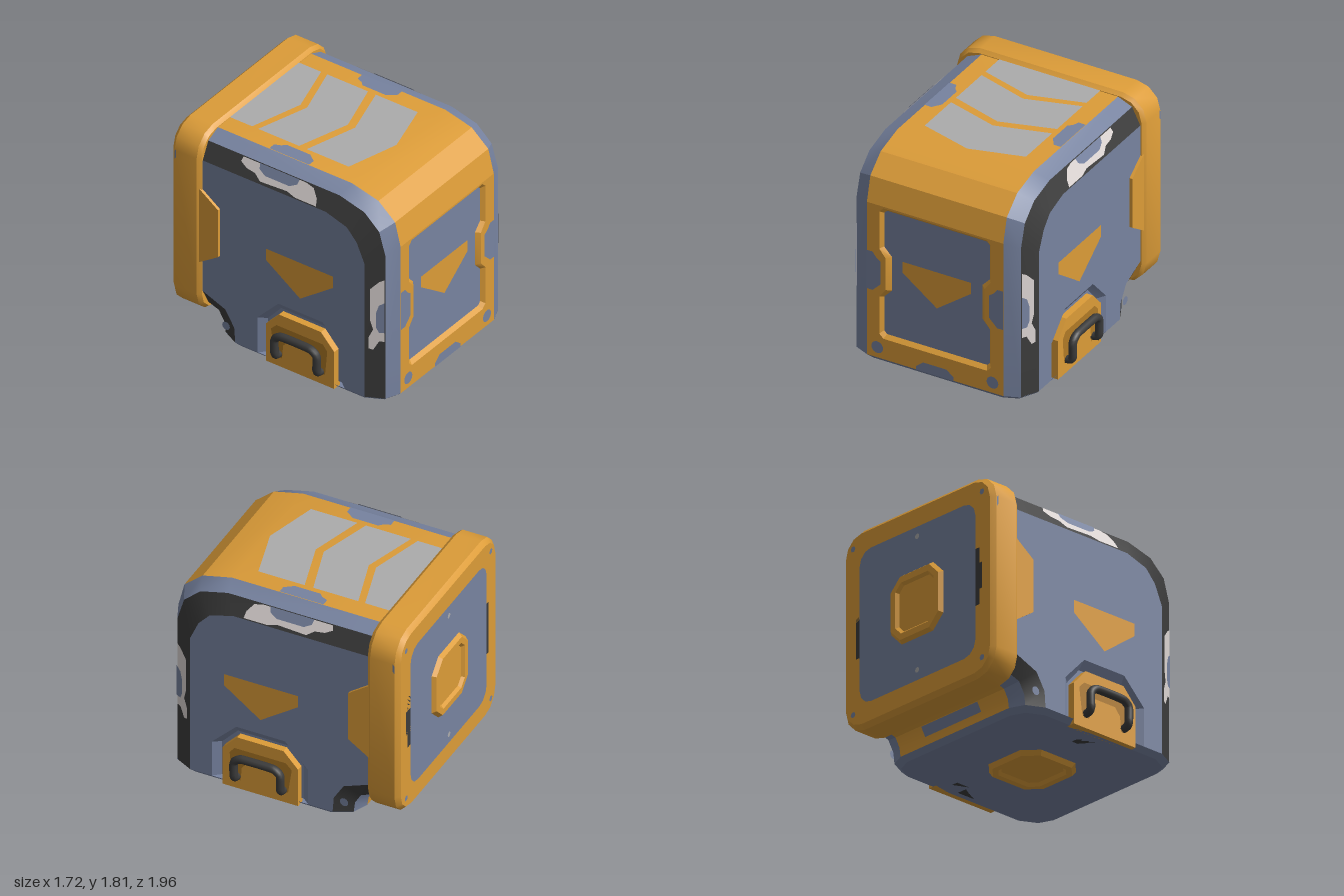
import * as THREE from 'three';
import { toCreasedNormals } from 'three/addons/utils/BufferGeometryUtils.js';

const paint = (name, color) => {
  const m = new THREE.MeshStandardMaterial({ color, side: THREE.DoubleSide });
  m.name = name;
  return m;
};

// Outline with rounded (n > 1) or chamfered (n = 1) corners, anticlockwise
function rounded(h, r, n) {
  const pts = [];
  for (let q = 0; q < 4; q++) for (let i = 0; i <= n; i++) {
    const a = (q + i / n) * Math.PI / 2, m = (q + 0.5) * Math.PI / 2;
    pts.push([Math.sign(Math.cos(m)) * (h - r) + r * Math.cos(a), Math.sign(Math.sin(m)) * (h - r) + r * Math.sin(a)]);
  }
  return pts;
}

// Skin through rings of [x, y, z] points
function loft(rings, closed, cap) {
  const pos = [], tri = (...p) => p.forEach(v => pos.push(...v));
  const n = rings[0].length;
  for (let r = 0; r + 1 < rings.length; r++) for (let i = 0; i < (closed ? n : n - 1); i++) {
    const j = (i + 1) % n, a = rings[r], b = rings[r + 1];
    tri(a[i], a[j], b[j]);
    tri(a[i], b[j], b[i]);
  }
  if (cap) {
    const e = rings.at(-1), c = [0, 1, 2].map(k => e.reduce((s, p) => s + p[k], 0) / n);
    e.forEach((p, i) => tri(c, p, e[(i + 1) % n]));
  }
  const g = new THREE.BufferGeometry();
  g.setAttribute('position', new THREE.Float32BufferAttribute(pos, 3));
  return g;
}

const outline = (pts, hole) => {
  const s = new THREE.Shape(pts.map(p => new THREE.Vector2(...p)));
  if (hole) s.holes.push(new THREE.Path(hole.map(p => new THREE.Vector2(...p))));
  return s;
};
const flat = (pts, z, hole) => new THREE.ShapeGeometry(outline(pts, hole)).translate(0, 0, z);
const flipZ = pts => pts.map(([z, y]) => [-z, y]);
// Side pieces are given as [z, y] points
const sideFlat = (pts, x) => flat(flipZ(pts), x).rotateY(Math.PI / 2);
const sideSlab = (pts, x, depth) => new THREE.ExtrudeGeometry(outline(flipZ(pts)), { depth, bevelEnabled: false })
  .rotateY(Math.PI / 2).translate(x, 0, 0);
const topFlat = (pts, y) => flat(pts.map(([x, z]) => [x, -z]), 0).rotateX(-Math.PI / 2).translate(0, y, 0);
const mirrored = half => [...half, ...half.map(([x, y]) => [-x, y]).reverse()];

export function createModel() {
  const model = new THREE.Group();
  model.name = 'crate';
  const orange = paint('orange', 0xdc9c38), blue = paint('slateBlue', 0x7783a0), dark = paint('charcoal', 0x3b3b3b);
  const grey = paint('grey', 0xacacac), pale = paint('paleWear', 0xdcd5d3), ochre = paint('darkOrange', 0xb07a26);

  const add = (name, geo, mat, crease = 0.45, parent = model) => {
    const g = geo.index ? geo.toNonIndexed() : geo;
    g.computeVertexNormals();
    const mesh = new THREE.Mesh(toCreasedNormals(g, crease), mat);
    mesh.name = name;
    parent.add(mesh);
  };
  // Adds a part on the left and its reflection on the right
  const both = (name, geo, mat, crease) => {
    const g = geo.index ? geo.toNonIndexed() : geo, m = g.clone(), p = m.attributes.position, o = g.attributes.position;
    for (let i = 0; i < p.count; i++) {
      const k = i - i % 3 + [0, 2, 1][i % 3];
      p.setXYZ(i, -o.getX(k), o.getY(k), o.getZ(k));
    }
    add(name + 'Left', g, mat, crease);
    add(name + 'Right', m, mat, crease);
  };

  // Body profiles as [z, y]: outer at the middle, inner at the side wall
  const outer = [[-.55, .11], [-.56, .18], [-.6, .25], [-.7, .28], [-.7, 1.81], [.56, 1.81], [.8, 1.75], [.95, 1.62], [1, 1.42], [1, .11]];
  const inner = [[-.36, .11], [-.37, .24], [-.45, .37], [-.7, .47], [-.7, 1.62], [.46, 1.62], [.65, 1.56], [.74, 1.46], [.81, 1.3], [.81, .11]];
  const ring = (x, t) => outer.map(([z, y], i) => [x, y + (inner[i][1] - y) * t, z + (inner[i][0] - z) * t]);
  add('centreShell', loft([ring(-.58, 0).slice(0, 9), ring(.58, 0).slice(0, 9)], false), orange);
  both('edgeBevel', loft([ring(.58, 0), ring(.7, .27)], false), blue);
  both('darkBand', loft([ring(.7, .27), ring(.77, 1)], false), dark);

  // Base plate
  const baseHalf = [[.58, -.55], [.7, -.5], [.77, -.36], [.77, .81], [.7, .95], [.58, 1]];
  const base = mirrored(baseHalf);
  add('base', loft([base.map(([x, z]) => [x, .11, z]), base.map(([x, z]) => [x * .95, .07, .22 + (z - .22) * .95])], true, true), blue);

  // Front face with recessed panel
  const opening = mirrored([[.44, .285], [.475, .32], [.475, .64], [.42, .71], [.42, .98], [.475, 1.05], [.475, 1.37], [.44, 1.405]]);
  const panel = mirrored([[.425, .315], [.45, .34], [.45, .63], [.385, .7], [.385, .99], [.45, 1.06], [.45, 1.35], [.425, 1.375]]);
  add('frontFace', flat([[-.58, .11], [.58, .11], [.58, 1.42], [-.58, 1.42]], 1, opening), orange);
  add('panelFrame', loft([opening.map(([x, y]) => [x, y, 1]), panel.map(([x, y]) => [x, y, .97])], true), orange);
  add('frontPanel', flat(panel, .97), blue);
  add('frontArrow', flat([[-.29, .98], [-.29, .885], [0, .67], [.29, .885], [.29, .98]], .975), orange);
  add('frontLowerMark', flat([[-.16, .11], [.16, .11], [.16, .14], [.1, .19], [-.1, .19], [-.16, .14]], 1.004), blue);
  both('frontDot', new THREE.CircleGeometry(.05, 20).translate(.49, .2, 1.004), blue);
  both('frontEdgeMark', flat([[.58, .68], [.58, 1.01], [.53, 1.01], [.5, .97], [.46, .94], [.46, .75], [.5, .71], [.53, .68]], 1.004), blue);

  // Top chevrons and edge marks
  [[-.68, -.68, -.455, -.33], [-.4, -.27, -.03, .1], [.04, .165, .42, .54]].forEach(([a, b, c, d], i) =>
    add('topChevron' + (i + 1), topFlat([[-.43, a], [0, b], [.43, a], [.43, c], [0, d], [-.43, c]], 1.815), grey));
  both('topEdgeMark', topFlat([[.58, -.19], [.52, -.19], [.5, -.14], [.47, -.11], [.47, .1], [.5, .14], [.52, .17], [.58, .17]], 1.814), blue);

  // Worn patches lying on the sloped dark band
  const onBand = (pts, front, lift) => {
    const g = sideFlat(pts, 0), p = g.attributes.position;
    for (let i = 0; i < p.count; i++) {
      const d = front ? 1 - p.getZ(i) : 1.81 - p.getY(i);
      p.setX(i, .7 + .5 * (d - .051) + lift);
    }
    return g;
  };
  both('frontWear', onBand([[.945, 1.17], [.91, 1.15], [.85, 1.08], [.85, .8], [.87, .72], [.84, .65], [.84, .55], [.87, .54], [.91, .62], [.945, .62]], true, .005), pale);
  both('frontBandMark', onBand([[.949, .97], [.91, .94], [.89, .87], [.89, .75], [.91, .7], [.949, .7]], true, .009), blue);
  both('topWear', onBand([[.37, 1.63], [.36, 1.68], [.31, 1.74], [.24, 1.755], [-.33, 1.755], [-.34, 1.72], [-.28, 1.69], [-.2, 1.68], [-.14, 1.64], [.1, 1.65], [.18, 1.63]], false, .005), pale);
  both('topBandMark', onBand([[.18, 1.759], [.17, 1.72], [.11, 1.69], [-.11, 1.69], [-.17, 1.72], [-.18, 1.759]], false, .009), blue);

  // Side walls with a pocket at the foot
  const pocket = [[-.16, .11], [-.16, .42], [.03, .62], [.43, .62], [.63, .42], [.63, .11]];
  const floor = [[-.1, .11], [-.1, .41], [.02, .55], [.44, .55], [.57, .41], [.57, .11]];
  const at = (pts, x) => pts.map(([z, y]) => [x, y, z]);
  both('sideWall', sideFlat([...inner, ...[...pocket].reverse()], .77), blue);
  both('sidePocket', loft([at(pocket, .77), at(floor, .72)], false, true), blue);
  both('sideArrow', sideFlat([[.53, 1.07], [.53, .97], [.23, .75], [-.08, .97], [-.08, 1.07]], .774), orange);
  both('rearWallDot', new THREE.CircleGeometry(.035, 12).rotateY(Math.PI / 2).translate(.762, .22, -.45), blue);

  // Side brackets and carrying handles
  both('bracket', sideSlab([[.54, .07], [.54, .4], [.42, .53], [.04, .53], [-.08, .4], [-.08, .07]], .7, .075), orange);
  both('bracketInset', sideFlat([[.46, .17], [.48, .38], [.44, .43], [.02, .43], [-.03, .38], [0, .17], [.07, .15], [.08, .27], [.13, .33],
    [.33, .33], [.38, .27], [.39, .15]], .779), ochre);
  const grip = new THREE.CatmullRomCurve3([[.74, .18, .42], [.81, .19, .42], [.83, .22, .42], [.83, .34, .42], [.83, .385, .36], [.83, .385, .1],
    [.83, .34, .04], [.83, .22, .04], [.81, .19, .04], [.74, .18, .04]].map(p => new THREE.Vector3(...p)), false, 'catmullrom', .25);
  both('handle', new THREE.TubeGeometry(grip, 48, .032, 10), dark, 1.2);

  // Rear cap
  const cy = 1.035;
  const capRing = (inset, z) => rounded(.805 - inset, .2 - inset, 3).map(([x, y]) => [x, y + cy, z]);
  add('rearCap', loft([capRing(.035, -.92), capRing(0, -.885), capRing(0, -.685), capRing(.025, -.655)], true, true), orange, .6);
  both('capTab', sideSlab([[-.68, 1.38], [-.5, 1.25], [-.5, .83], [-.68, .71]], .74, .053), orange);
  both('capChip', sideFlat([[-.87, 1.58], [-.87, 1.65], [-.885, 1.63], [-.885, 1.56]], .808), blue);
  add('notchSlot', loft([[[-.3, .17, -.565], [-.3, .24, -.605]], [[.3, .17, -.565], [.3, .24, -.605]]], false), blue);

  // Hatch: raised badge between two clips, facing local +z
  const hatch = (name, clipHeight) => {
    const g = new THREE.Group();
    g.name = name;
    const lvl = (h, r, z) => rounded(h, r, 1).map(([x, y]) => [x, y, z]);
    add('badge', loft([lvl(.28, .11, 0), lvl(.255, .1, .035), lvl(.205, .06, .035), lvl(.185, .05, .012)], true, true), orange, .3, g);
    const bar = (w, top, h, len) => new THREE.ExtrudeGeometry(outline([[-w, 0], [w, 0], [w, -h * .4], [top, -h], [-top, -h], [-w, -h * .4]]),
      { depth: len, bevelEnabled: false }).translate(0, 0, -len / 2).rotateX(Math.PI / 2);
    for (const s of [-1, 1]) {
      add('clipBar', bar(.05, .03, clipHeight * .75, .46).translate(s * .61, 0, 0), dark, .3, g);
      add('clipBody', bar(.075, .042, clipHeight, .21).translate(s * .61, 0, 0), dark, .3, g);
    }
    model.add(g);
    return g;
  };
  const rear = hatch('rearHatch', .08);
  rear.position.set(0, cy, -.92);
  rear.rotation.y = Math.PI;
  add('rearRim', flat(rounded(.77, .165, 3), 0), orange, .3, rear);
  add('rearPanel', flat(rounded(.62, .12, 3), .004), blue, .3, rear);
  for (const s of [-1, 1]) {
    add('rivet', new THREE.CircleGeometry(.022, 10).translate(0, s * .54, .008), grey, .3, rear);
    for (const t of [-1, 1]) add('rimChip', new THREE.CircleGeometry(.025, 6).translate(s * .69, t * .67, .004), blue, .3, rear);
  }
  const under = hatch('baseHatch', .07);
  under.position.set(0, .07, .23);
  under.rotation.x = Math.PI / 2;
  return model;
}
